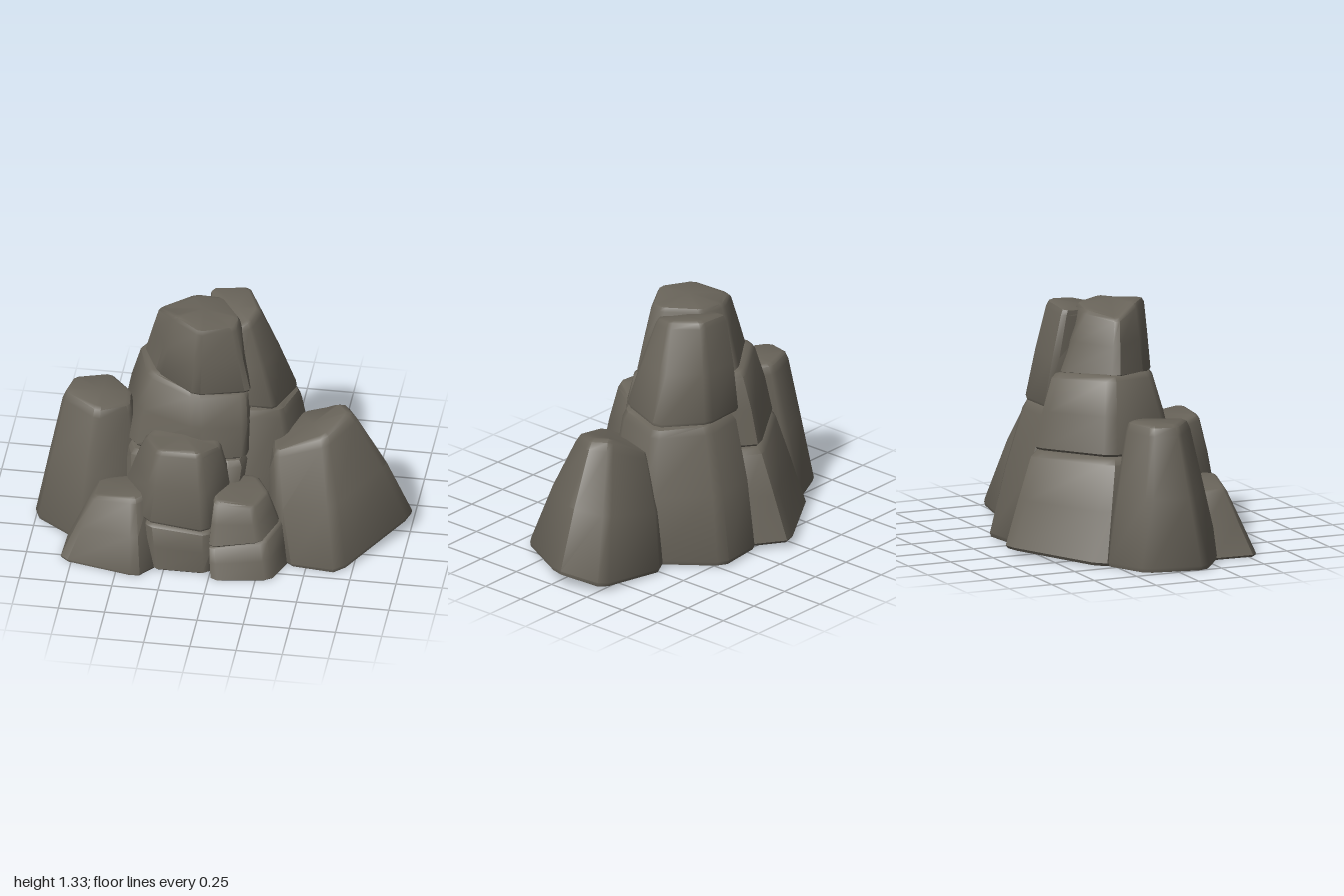
import * as THREE from 'three';
import { toCreasedNormals } from 'three/addons/utils/BufferGeometryUtils.js';

const stone = new THREE.MeshStandardMaterial({ color: 0x69645a });
stone.name = 'grey brown stone';

const V = (x, y, z) => new THREE.Vector3(x, y, z);
const centre = (pts) => pts.reduce((s, p) => s.add(p), V(0, 0, 0)).divideScalar(pts.length);

// Cut every corner of a ring so that vertical edges come out rounded
function roundRing(pts, cut = 0.1) {
  return pts.flatMap((p, i) => {
    const prev = pts[(i + pts.length - 1) % pts.length];
    const next = pts[(i + 1) % pts.length];
    return [p.clone().lerp(prev, cut), p.clone().lerp(next, cut)];
  });
}

// Tapered boulder: each corner is [bottom x, y, z, top x, y, z], in order around the rock
function rock(name, corners, { bulge = 1.03, crown = 0 } = {}) {
  const bottom = corners.map((c) => V(c[0], c[1], c[2]));
  const top = corners.map((c) => V(c[3], c[4], c[5]));
  const area = bottom.reduce((s, p, i) => {
    const q = bottom[(i + 1) % bottom.length];
    return s + p.z * q.x - q.z * p.x;
  }, 0);
  if (area < 0) { bottom.reverse(); top.reverse(); }

  // [height along the rock, width factor]
  const levels = [[0, 0.99], [0.03, 1.025], [0.5, bulge], [0.93, 1.025], [0.985, 0.97], [1, 0.84]];
  const rings = levels.map(([t, scale]) => {
    const ring = roundRing(bottom.map((p, i) => p.clone().lerp(top[i], t)));
    const c = centre(ring);
    return ring.map((p) => V(c.x + (p.x - c.x) * scale, p.y, c.z + (p.z - c.z) * scale));
  });

  const n = rings[0].length;
  const points = rings.flat();
  const index = [];
  for (let r = 0; r < rings.length - 1; r++) {
    for (let i = 0; i < n; i++) {
      const a = r * n + i, b = r * n + (i + 1) % n;
      index.push(a, b, b + n, a, b + n, a + n);
    }
  }
  // Caps
  const last = (rings.length - 1) * n;
  const peak = centre(rings[rings.length - 1]);
  peak.y += crown;
  points.push(centre(rings[0]), peak);
  for (let i = 0; i < n; i++) {
    const j = (i + 1) % n;
    index.push(points.length - 2, j, i, points.length - 1, last + i, last + j);
  }
  const geometry = new THREE.BufferGeometry().setFromPoints(points);
  geometry.setIndex(index);
  const mesh = new THREE.Mesh(toCreasedNormals(geometry, 0.75), stone);
  mesh.name = name;
  return mesh;
}

export function createModel() {
  const group = new THREE.Group();
  group.name = 'rockPile';

  group.add(
    // Large outer boulders
    rock('leftBoulder', [
      [0.47, 0, -0.34, 0.40, 0.62, -0.16], [0.91, 0.03, -0.28, 0.63, 0.74, -0.09],
      [1.01, 0.08, -0.04, 0.69, 0.74, 0.0], [0.68, 0, 0.45, 0.57, 0.69, 0.18],
      [0.40, 0, 0.42, 0.30, 0.62, 0.24], [0.22, 0, 0.1, 0.26, 0.6, 0.02],
    ], { bulge: 1.08 }),
    rock('rightBoulder', [
      [-1.01, 0, 0.16, -0.86, 0.77, 0.06], [-0.95, 0, -0.17, -0.83, 0.77, -0.08],
      [-0.69, 0, -0.29, -0.64, 0.77, -0.14], [-0.45, 0, -0.1, -0.51, 0.75, -0.02],
      [-0.40, 0, 0.22, -0.50, 0.74, 0.1], [-0.72, 0, 0.37, -0.66, 0.76, 0.21],
    ]),
    rock('frontRightBoulder', [
      [-0.81, 0, 0.55, -0.65, 0.36, 0.43], [-0.38, 0, 0.645, -0.42, 0.39, 0.48],
      [-0.28, 0, 0.52, -0.35, 0.39, 0.4], [-0.32, 0, 0.18, -0.36, 0.38, 0.2],
      [-0.80, 0, 0.28, -0.64, 0.35, 0.25],
    ]),

    // Front middle stack
    rock('frontMiddleLower', [
      [-0.38, 0, 0.3, -0.38, 0.27, 0.3], [-0.31, 0, 0.56, -0.35, 0.27, 0.52],
      [-0.01, 0, 0.56, -0.01, 0.25, 0.54], [0.06, 0, 0.3, 0.05, 0.25, 0.3],
      [0, 0, 0.05, 0, 0.26, 0.05], [-0.3, 0, 0.05, -0.3, 0.26, 0.05],
    ]),
    rock('frontMiddleUpper', [
      [-0.51, 0.34, 0.22, -0.39, 0.66, 0.26], [-0.36, 0.27, 0.51, -0.30, 0.69, 0.44],
      [-0.02, 0.25, 0.54, -0.07, 0.70, 0.45], [0.09, 0.32, 0.29, 0.02, 0.66, 0.30],
      [0.02, 0.3, 0.05, -0.05, 0.70, 0.12], [-0.35, 0.3, 0.05, -0.28, 0.70, 0.12],
    ], { bulge: 1.05 }),

    // Front left small stack
    rock('frontLeftLower', [
      [-0.02, 0, 0.4, -0.02, 0.17, 0.38], [0.02, 0, 0.62, 0.0, 0.17, 0.55],
      [0.33, 0, 0.57, 0.29, 0.21, 0.51], [0.41, 0, 0.36, 0.36, 0.25, 0.34],
      [0.25, 0, 0.1, 0.22, 0.22, 0.15], [0.03, 0, 0.12, 0.03, 0.2, 0.16],
    ]),
    rock('frontLeftUpper', [
      [-0.03, 0.19, 0.36, -0.02, 0.43, 0.34], [0.0, 0.17, 0.56, 0.02, 0.42, 0.48],
      [0.27, 0.21, 0.53, 0.22, 0.40, 0.47], [0.35, 0.25, 0.36, 0.28, 0.41, 0.33],
      [0.23, 0.22, 0.16, 0.2, 0.42, 0.2], [0.03, 0.2, 0.18, 0.03, 0.43, 0.22],
    ]),

    // Central tower
    rock('towerBase', [
      [-0.71, 0, -0.32, -0.58, 0.56, -0.2], [-0.2, 0.03, -0.65, -0.17, 0.55, -0.47],
      [-0.03, 0.02, -0.51, -0.04, 0.55, -0.38], [0.12, 0, 0, 0.17, 0.55, 0.05],
      [0.05, 0, 0.36, 0.12, 0.55, 0.28], [-0.45, 0, 0.3, -0.46, 0.55, 0.25],
      [-0.65, 0, 0, -0.53, 0.55, 0.02],
    ]),
    rock('towerMiddle', [
      [-0.57, 0.56, -0.2, -0.47, 0.98, -0.15], [-0.17, 0.55, -0.46, -0.16, 0.96, -0.35],
      [-0.04, 0.55, -0.36, -0.04, 0.94, -0.28], [0.16, 0.55, 0.02, 0.14, 0.92, 0.03],
      [0.14, 0.55, 0.24, 0.13, 0.91, 0.17], [-0.1, 0.55, 0.3, -0.13, 0.93, 0.23],
      [-0.48, 0.55, 0.2, -0.39, 0.97, 0.11],
    ], { bulge: 1.05 }),
    rock('towerTop', [
      [-0.45, 0.97, -0.11, -0.37, 1.27, -0.07], [-0.16, 0.95, -0.31, -0.19, 1.30, -0.18],
      [-0.02, 0.93, -0.24, -0.04, 1.31, -0.16], [0.14, 0.91, 0.02, 0.08, 1.31, 0.02],
      [0.15, 0.91, 0.14, 0.06, 1.30, 0.10], [-0.13, 0.92, 0.23, -0.11, 1.32, 0.2],
      [-0.35, 0.95, 0.1, -0.26, 1.33, 0.09],
    ], { crown: 0.025 }),

    // Back left column
    rock('backColumnLower', [
      [-0.06, 0.01, -0.53, -0.10, 0.76, -0.35], [0.23, 0.01, -0.56, 0.15, 0.76, -0.38],
      [0.50, 0.01, -0.21, 0.38, 0.75, -0.19], [0.42, 0, 0.12, 0.32, 0.78, 0.08],
      [0.12, 0, 0.25, 0.14, 0.80, 0.14], [-0.1, 0, 0, -0.05, 0.78, 0],
    ], { bulge: 1.06 }),
    rock('backColumnUpper', [
      [-0.11, 0.76, -0.37, -0.12, 1.29, -0.27], [0.15, 0.76, -0.38, 0.09, 1.31, -0.28],
      [0.37, 0.76, -0.19, 0.17, 1.29, -0.11], [0.28, 0.78, 0.09, 0.13, 1.27, 0.0],
      [0.14, 0.81, 0.13, 0.06, 1.25, 0.05], [-0.08, 0.79, 0, -0.08, 1.27, -0.05],
    ], { bulge: 1.05 }),
  );
  return group;
}
